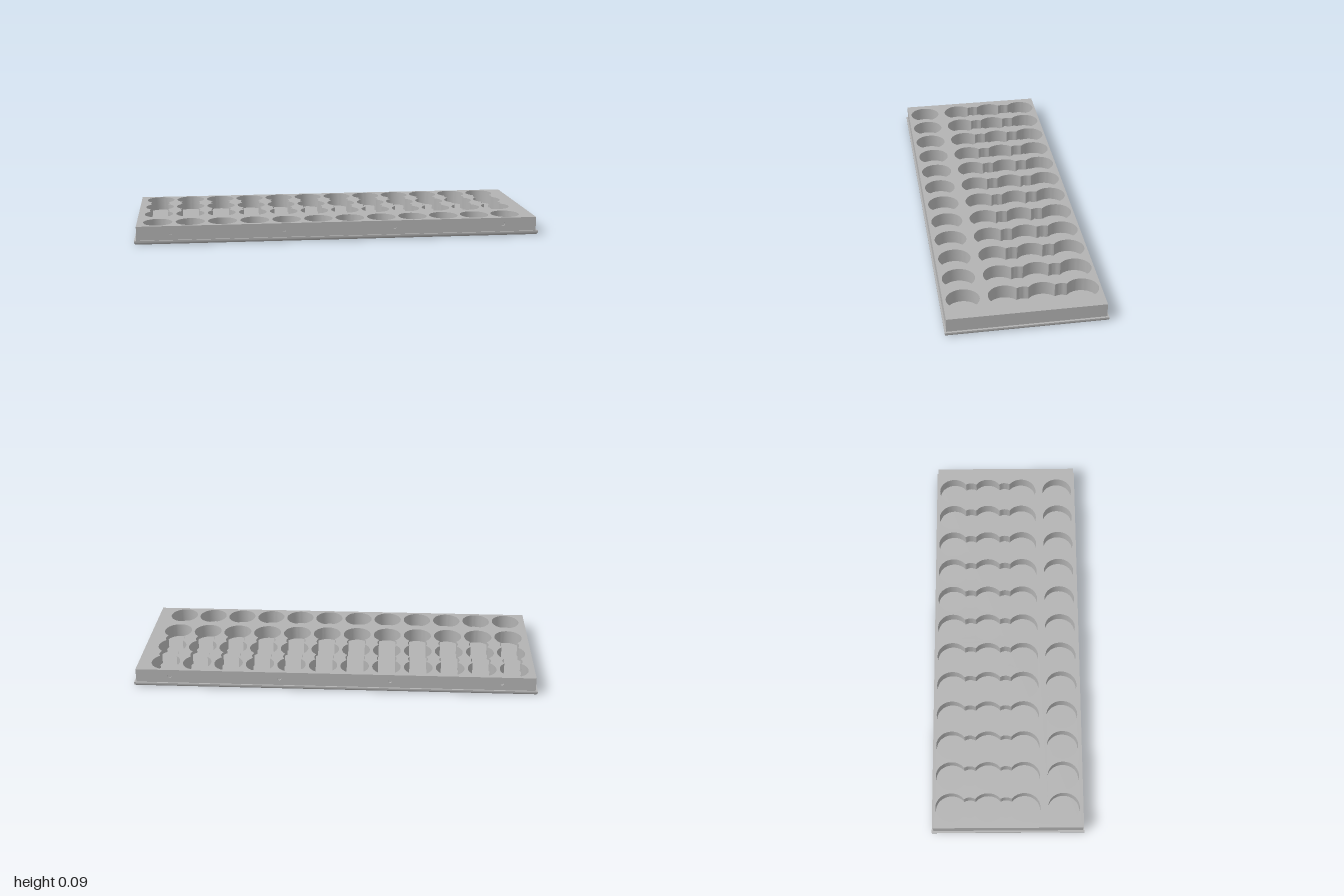
import * as THREE from 'three';
import { toCreasedNormals } from 'three/addons/utils/BufferGeometryUtils.js';

const BASE_TOP = 0.02, TOP = 0.089;
const HALF_X = 0.99, HALF_Z = 0.37, SKIN = 0.008;

function rectShape(x0, y0, x1, y1) {
  const s = new THREE.Shape();
  s.moveTo(x0, y0).lineTo(x1, y0).lineTo(x1, y1).lineTo(x0, y1).closePath();
  return s;
}

// Outline of a chain of overlapping ellipses [cy, rx, ry], listed from bottom to top
function pocketPath(cx, lobes) {
  const right = [];
  const n = 24;
  for (const lobe of lobes) {
    const [cy, rx, ry] = lobe;
    for (let i = 0; i <= n; i++) {
      const a = -Math.PI / 2 + (Math.PI * i) / n;
      const x = Math.max(0, rx * Math.cos(a)), y = cy + ry * Math.sin(a);
      const covered = lobes.some((o) => o !== lobe && (x / o[1]) ** 2 + ((y - o[0]) / o[2]) ** 2 < 1);
      if (!covered) right.push([x, y]);
    }
  }
  const left = right.slice(1, -1).reverse().map(([x, y]) => [-x, y]);
  return new THREE.Path([...right, ...left].map(([x, y]) => new THREE.Vector2(cx + x, y)));
}

// Base plate with a rounded lower edge, made from inset rectangular sections
function basePlateGeometry(hx, hz, h, r) {
  const profile = [];
  for (let i = 0; i <= 8; i++) {
    const a = (Math.PI / 2) * (i / 8);
    profile.push([r * (1 - Math.sin(a)), r * (1 - Math.cos(a))]);
  }
  profile.push([0, h]);
  const corners = [[-1, 1], [1, 1], [1, -1], [-1, -1]];
  const at = ([sx, sz], [inset, y]) => [sx * (hx - inset), y, sz * (hz - inset)];
  const pos = [], idx = [];
  for (let s = 0; s < 4; s++) {
    const start = pos.length / 3;
    for (const p of profile) pos.push(...at(corners[s], p), ...at(corners[(s + 1) % 4], p));
    for (let i = 0; i < profile.length - 1; i++) {
      const a = start + i * 2;
      idx.push(a, a + 1, a + 3, a, a + 3, a + 2);
    }
  }
  // Flat top and underside
  const top = pos.length / 3;
  for (const c of corners) pos.push(...at(c, profile[profile.length - 1]));
  idx.push(top, top + 1, top + 2, top, top + 2, top + 3);
  for (const c of corners) pos.push(...at(c, profile[0]));
  idx.push(top + 4, top + 6, top + 5, top + 4, top + 7, top + 6);
  const g = new THREE.BufferGeometry();
  g.setAttribute('position', new THREE.Float32BufferAttribute(pos, 3));
  g.setIndex(idx);
  g.computeVertexNormals();
  return g;
}

export function createModel() {
  const group = new THREE.Group();
  const grey = new THREE.MeshStandardMaterial({ color: 0xb2b2b2 });
  grey.name = 'light grey';
  const add = (name, geometry) => {
    const mesh = new THREE.Mesh(geometry, grey);
    mesh.name = name;
    group.add(mesh);
    return mesh;
  };

  add('basePlate', basePlateGeometry(1, 0.378, BASE_TOP, 0.014));

  // Rack block: twelve columns, each a three-cup chain plus a single front cup
  const core = HALF_Z - SKIN;
  const block = rectShape(-HALF_X, -core, HALF_X, core);
  const cup = (y) => [y, 0.071, 0.078];
  const link = (y) => [y, 0.05, 0.05];
  for (let i = 0; i < 12; i++) {
    const x = -0.888 + i * 0.1583;
    block.holes.push(pocketPath(x, [cup(-0.083), link(0.008), cup(0.098), link(0.189), cup(0.28)]));
    block.holes.push(pocketPath(x, [cup(-0.277)]));
  }
  const blockGeo = new THREE.ExtrudeGeometry(block, { depth: TOP - BASE_TOP, bevelEnabled: false });
  blockGeo.rotateX(-Math.PI / 2).translate(0, BASE_TOP, 0);
  add('rackBlock', toCreasedNormals(blockGeo, 0.5));

  // Front and back walls with small pin holes
  const wall = rectShape(-HALF_X, BASE_TOP, HALF_X, TOP);
  for (const x of [-0.823, -0.275, 0.273, 0.821]) {
    wall.holes.push(new THREE.Path().absarc(x, 0.056, 0.01, 0, Math.PI * 2, true));
  }
  const wallGeo = toCreasedNormals(
    new THREE.ExtrudeGeometry(wall, { depth: SKIN, bevelEnabled: false, curveSegments: 20 }), 0.5);
  add('frontWall', wallGeo).position.z = core;
  add('backWall', wallGeo).position.z = -HALF_Z;

  return group;
}
